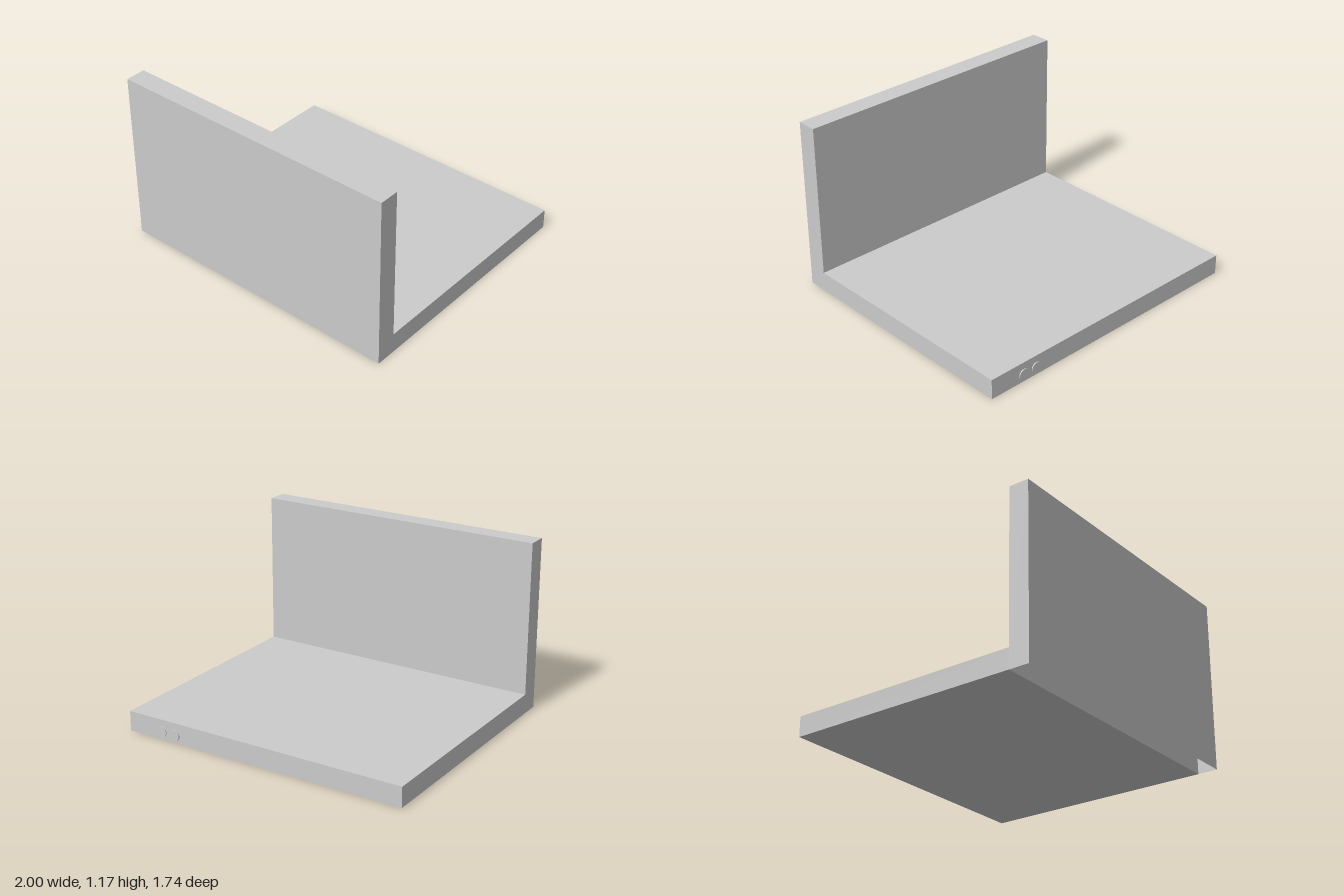
import * as THREE from 'three';

const FACES = ['+x', '-x', '+y', '-y', '+z', '-z'];

// Box given by its min and max corners, with one face left out
function openBox(name, min, max, openFace, material) {
  const size = max.map((v, i) => v - min[i]);
  const geometry = new THREE.BoxGeometry(...size);
  const first = FACES.indexOf(openFace) * 6;
  const index = Array.from(geometry.index.array);
  index.splice(first, 6);
  geometry.setIndex(index);
  geometry.clearGroups();
  const mesh = new THREE.Mesh(geometry, material);
  mesh.position.set(...max.map((v, i) => (v + min[i]) / 2));
  mesh.name = name;
  return mesh;
}

export function createModel() {
  const group = new THREE.Group();
  group.name = 'lShapedStand';
  const material = new THREE.MeshStandardMaterial({ color: 0xcccccc, side: THREE.DoubleSide });

  const back = -0.862, inner = 0.733, front = 0.869;

  // Flat base slab, joined to the wall at its front edge
  group.add(openBox('base', [-1, 0, back], [1, 0.135, inner], '+z', material));

  // Upright hollow wall, open underneath
  group.add(openBox('uprightWall', [-1, 0, inner], [1, 1.166, front], '-y', material));

  // Two thin round buttons on the rear edge of the base
  const depth = 0.014;
  for (const x of [0.643, 0.745]) {
    const button = new THREE.Mesh(new THREE.CylinderGeometry(0.037, 0.037, depth, 32), material);
    button.rotation.x = Math.PI / 2;
    button.position.set(x, 0.052, back);
    button.name = 'rearButton';
    group.add(button);
  }
  return group;
}
